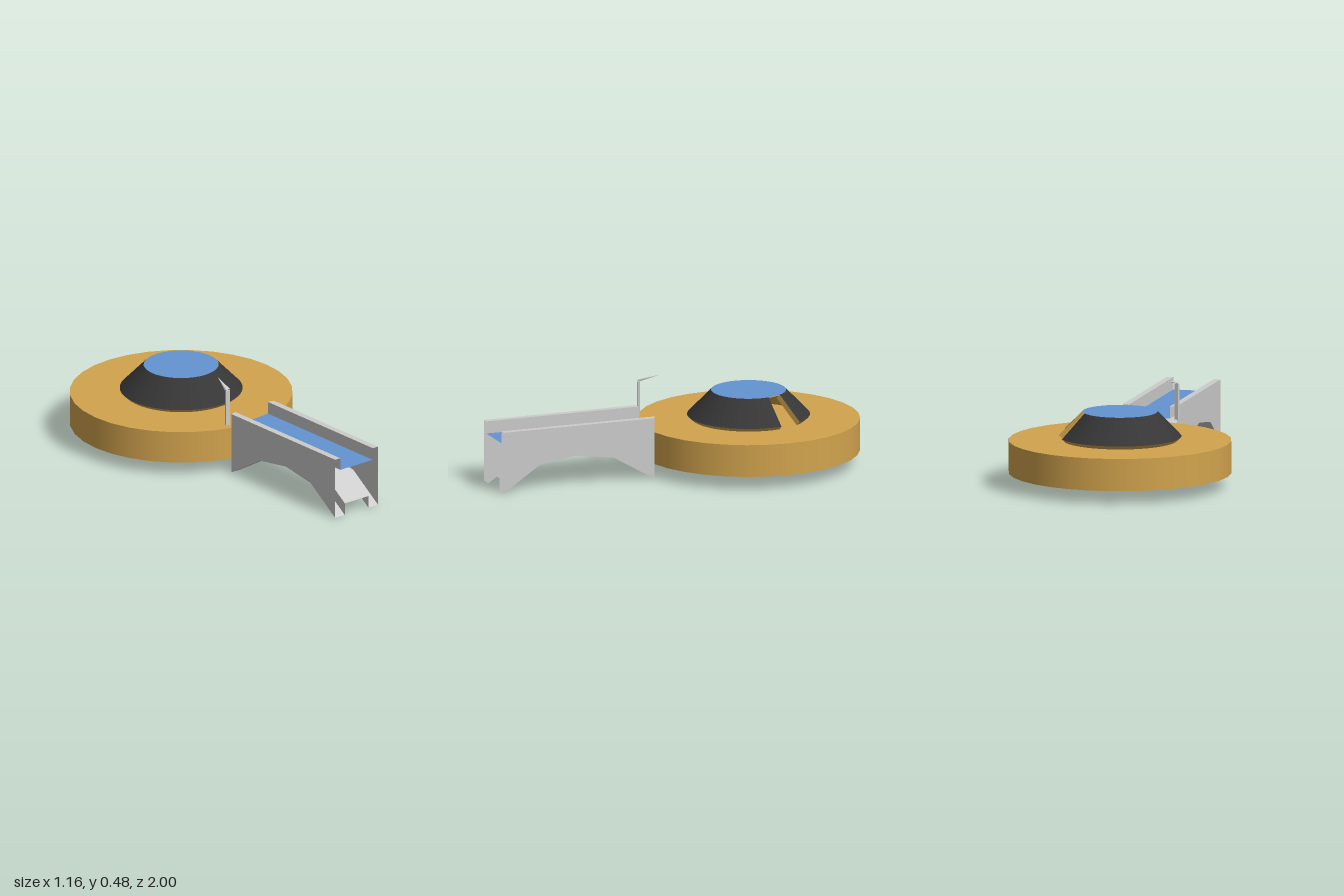
import * as THREE from 'three';

const CZ = -0.42;                      // centre of the round base in z
const rad = THREE.MathUtils.degToRad;

function material(name, color) {
  const m = new THREE.MeshStandardMaterial({ color, side: THREE.DoubleSide });
  m.name = name;
  return m;
}

function add(parent, name, geometry, mat) {
  const mesh = new THREE.Mesh(geometry, mat);
  mesh.name = name;
  parent.add(mesh);
  return mesh;
}

// Flat-shaded strip of quads between two rows of points
function ribbon(a, b) {
  const pos = [];
  for (let i = 0; i < a.length - 1; i++) {
    pos.push(...a[i], ...b[i], ...b[i + 1], ...a[i], ...b[i + 1], ...a[i + 1]);
  }
  const g = new THREE.BufferGeometry();
  g.setAttribute('position', new THREE.Float32BufferAttribute(pos, 3));
  g.computeVertexNormals();
  return g;
}

export function createModel() {
  const gold = material('gold', 0xd2a44e);
  const black = material('black', 0x363636);
  const blue = material('blue', 0x6494d2);
  const grey = material('grey', 0xcccccc);
  const model = new THREE.Group();
  model.name = 'roundBaseWithBridge';

  // Round base
  const base = add(model, 'base', new THREE.CylinderGeometry(0.58, 0.58, 0.17, 32), gold);
  base.position.set(0, 0.155, CZ);

  // Hollow conical roof with a narrow doorway
  const roof = new THREE.Group();
  roof.name = 'roof';
  roof.position.z = CZ;
  model.add(roof);
  const doorStart = rad(101), doorEnd = rad(125);
  const sweep = Math.PI * 2 - (doorEnd - doorStart);
  const profile = [[0.32, 0.26], [0.195, 0.39], [0.175, 0.37], [0.3, 0.241]]
    .map(([x, y]) => new THREE.Vector2(x, y));
  ['roofOuter', 'roofUpperEdge', 'roofInner', 'roofLowerEdge'].forEach((name, i) => {
    const pts = [profile[i], profile[(i + 1) % 4]];
    add(roof, name, new THREE.LatheGeometry(pts, 40, doorEnd, sweep), i === 0 ? black : gold);
  });
  for (const angle of [doorStart, doorEnd]) {
    const jamb = add(roof, 'doorJamb', new THREE.ShapeGeometry(new THREE.Shape(profile)), gold);
    jamb.rotation.y = angle - Math.PI / 2;
  }

  // Round top: blue above, gold ceiling below
  const cap = add(roof, 'roofTop', new THREE.CircleGeometry(0.195, 40), blue);
  cap.rotation.x = -Math.PI / 2;
  cap.position.y = 0.39;
  const ceiling = add(roof, 'ceiling', new THREE.CircleGeometry(0.194, 40), gold);
  ceiling.rotation.x = Math.PI / 2;
  ceiling.position.y = 0.387;

  // Bridge, an open-ended shell with a stepped arch beneath
  const bridge = new THREE.Group();
  bridge.name = 'bridge';
  model.add(bridge);
  const arch = [[0.16, 0], [0.39, 0.135], [0.6, 0.165], [0.8, 0.135], [1, 0]];
  const archRow = (x, lift) => arch.map(([z, y]) => [x, y + lift, z]);
  const TOP = 0.325, DECK = 0.26, STEP = 0.065;
  const arcZ = x => CZ + Math.sqrt(0.58 * 0.58 - x * x);

  for (const s of [-1, 1]) {
    const outer = 0.145 * s, inner = 0.11 * s, rib = 0.08 * s;
    add(bridge, 'outerWall', ribbon(archRow(outer, 0), arch.map(([z]) => [outer, TOP, z])), grey);
    add(bridge, 'archRib', ribbon(archRow(outer, 0), archRow(rib, 0)), grey);
    add(bridge, 'archStep', ribbon(archRow(rib, 0), archRow(rib, STEP)), grey);
    add(bridge, 'railTop', ribbon(
      [[outer, TOP, 0.16], [outer, TOP, 1]],
      [[inner, TOP, arcZ(inner)], [inner, TOP, 1]]), grey);
    add(bridge, 'railInner', ribbon(
      [[inner, TOP, arcZ(inner)], [inner, TOP, 1]],
      [[inner, DECK, arcZ(inner)], [inner, DECK, 1]]), grey);
  }
  add(bridge, 'archCentre', ribbon(archRow(-0.08, STEP), archRow(0.08, STEP)), grey);

  // Deck, its near edge following the base
  const xs = [-0.11, -0.055, 0, 0.055, 0.11];
  add(bridge, 'deck', ribbon(xs.map(x => [x, DECK, arcZ(x)]), xs.map(x => [x, DECK, 1])), blue);

  // Post with a pointed arm
  const post = add(model, 'post', new THREE.BoxGeometry(0.022, 0.19, 0.014), grey);
  post.position.set(-0.151, 0.355, 0.135);
  post.rotation.y = rad(-15);
  const tip = [-0.122, 0.482, 0.025];
  const foot = [[-0.163, 0.452, 0.126], [-0.14, 0.452, 0.132], [-0.139, 0.458, 0.144],
    [-0.163, 0.458, 0.138], [-0.163, 0.452, 0.126]];
  add(model, 'pointedArm', ribbon(foot, foot.map(() => tip)), grey);

  return model;
}
